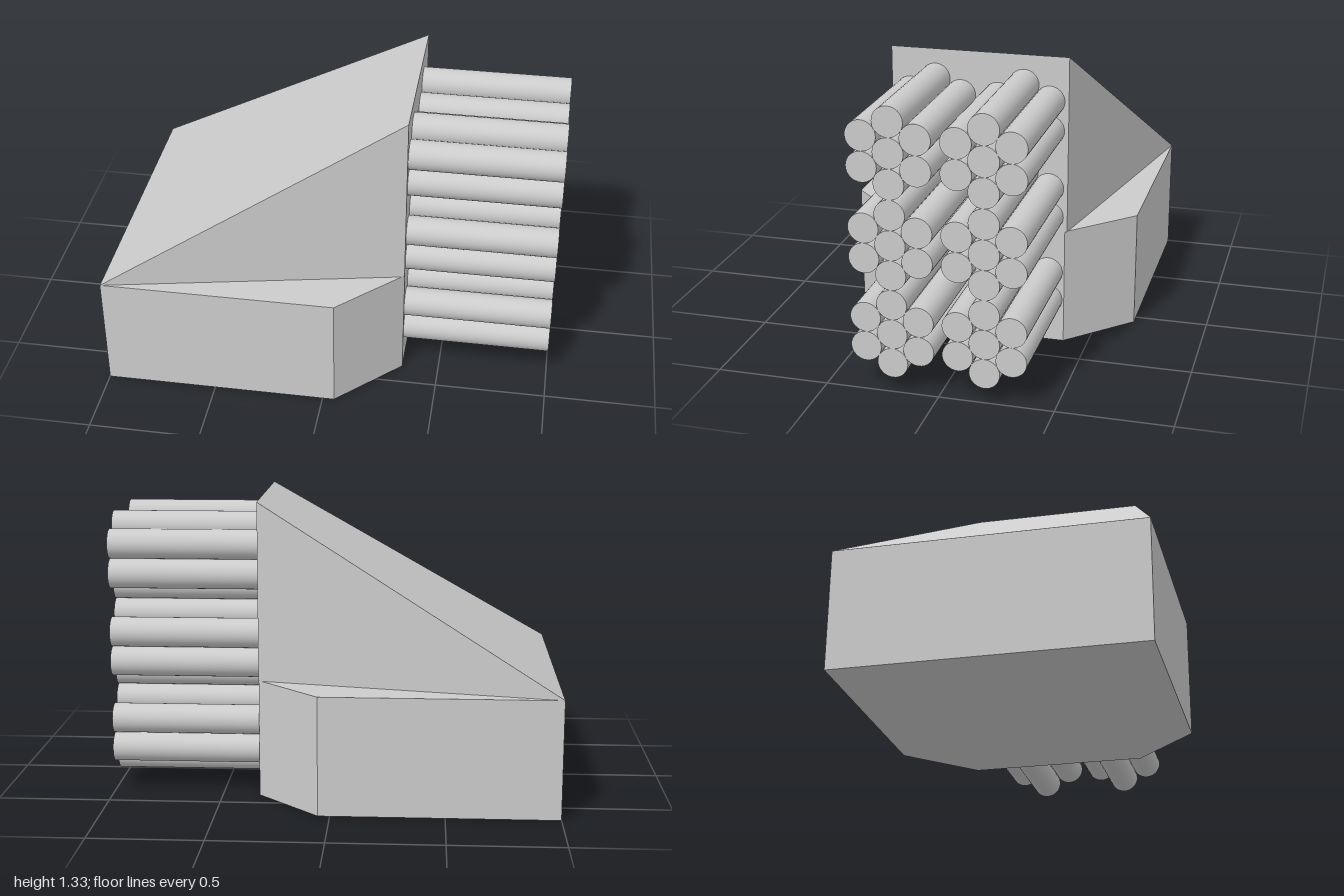
import * as THREE from 'three';

const material = new THREE.MeshStandardMaterial({ color: 0xcccccc });

// Extrude a plan outline of [x, z] points upwards from y = 0
function extrudePlan(points, height) {
  const shape = new THREE.Shape(points.map(([x, z]) => new THREE.Vector2(x, -z)));
  const geometry = new THREE.ExtrudeGeometry(shape, { depth: height, bevelEnabled: false });
  return geometry.rotateX(-Math.PI / 2);
}

export function createModel() {
  const model = new THREE.Group();
  model.name = 'launcher';

  const add = (name, geometry, parent = model) => {
    const mesh = new THREE.Mesh(geometry, material);
    mesh.name = name;
    parent.add(mesh);
    return mesh;
  };

  const backX = -1, muzzleX = 0.333, baseHeight = 0.533, topHeight = 1.333;

  // Base block with two chamfered corners beside the tubes
  add('base', extrudePlan([
    [backX, 0.667], [0.053, 0.667], [muzzleX, 0.39],
    [muzzleX, -0.39], [0.053, -0.667], [backX, -0.667],
  ], baseHeight));

  // Tapered housing: its flat roof is tilted into a ramp
  const housing = extrudePlan([
    [backX, 0.667], [muzzleX, 0.4], [muzzleX, -0.4], [backX, -0.667],
  ], 1);
  const p = housing.attributes.position;
  for (let i = 0; i < p.count; i++) {
    const slope = (p.getX(i) - backX) / (muzzleX - backX);
    p.setY(i, baseHeight + p.getY(i) * slope * (topHeight - baseHeight));
  }
  housing.computeVertexNormals();
  add('slopedHousing', housing);

  // Six hexagonal clusters of seven tubes
  const radius = 0.0667;
  const tube = new THREE.CylinderGeometry(radius, radius, 1 - muzzleX, 32).rotateZ(-Math.PI / 2);
  for (const z of [-0.2, 0.2]) {
    for (const y of [0.267, 0.667, 1.067]) {
      const cluster = new THREE.Group();
      cluster.name = 'tubeCluster';
      cluster.position.set((1 + muzzleX) / 2, y, z);
      add('centreTube', tube, cluster);
      for (let i = 0; i < 6; i++) {
        const a = Math.PI / 2 + (i * Math.PI) / 3;
        add('outerTube', tube, cluster)
          .position.set(0, 2 * radius * Math.sin(a), 2 * radius * Math.cos(a));
      }
      model.add(cluster);
    }
  }
  return model;
}
